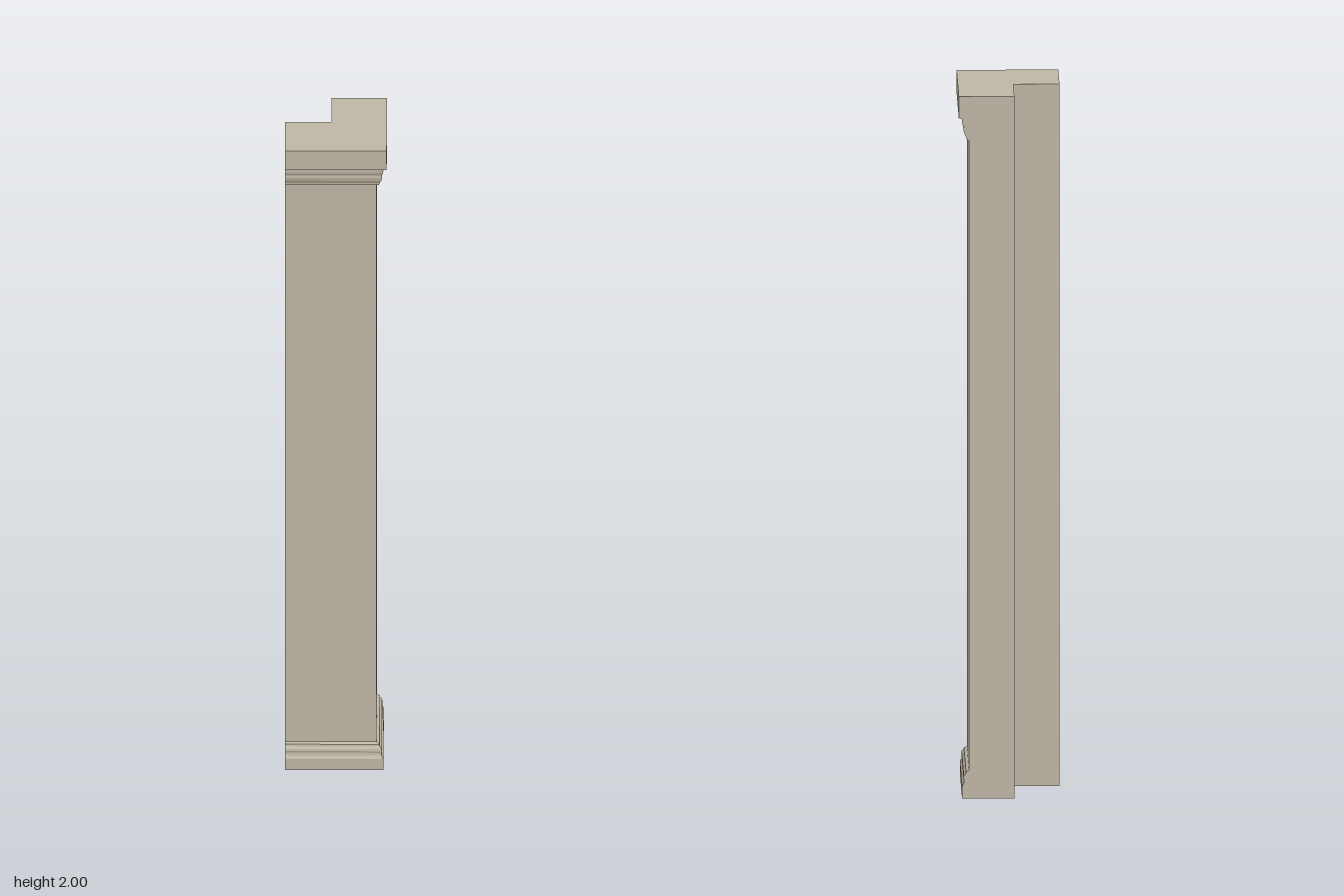
import * as THREE from 'three';

const END = -0.14;     // flush ends of both wings
const INNER = -0.013;  // inside corner of the L
const SHAFT = 0.112;   // outer faces of the shaft

// L-shaped ring; only the two outer faces move with the moulding profile
const ring = (outer, y) => [
  [END, outer], [outer, outer], [outer, END],
  [INNER, END], [INNER, INNER], [END, INNER],
].map(([x, z]) => [x, y, z]);

// Closed, hard-edged loft through a profile of [outer, y] pairs, bottom to top
function loftL(profile) {
  const rings = profile.map(([outer, y]) => ring(outer, y));
  const pos = [];
  const tri = (a, b, c) => pos.push(...a, ...b, ...c);
  for (let k = 0; k < rings.length - 1; k++) {
    const lo = rings[k], hi = rings[k + 1];
    for (let i = 0; i < 6; i++) {
      const j = (i + 1) % 6;
      // inner faces and flush ends keep their outline, flat steps there vanish
      if (profile[k][1] === profile[k + 1][1] && i > 2 && i < 5) continue;
      tri(lo[i], lo[j], hi[j]);
      tri(lo[i], hi[j], hi[i]);
    }
  }
  // end caps fan out from the inside corner
  const bottom = rings[0], top = rings[rings.length - 1];
  for (const [a, b] of [[5, 0], [0, 1], [1, 2], [2, 3]]) {
    tri(top[4], top[a], top[b]);
    tri(bottom[4], bottom[b], bottom[a]);
  }
  const geo = new THREE.BufferGeometry();
  geo.setAttribute('position', new THREE.Float32BufferAttribute(pos, 3));
  geo.computeVertexNormals();
  return geo;
}

export function createModel() {
  const stone = new THREE.MeshStandardMaterial({ color: 0xbfb7a6 });
  stone.name = 'warm stone';
  const model = new THREE.Group();
  model.name = 'cornerPilaster';

  const add = (name, profile) => {
    const mesh = new THREE.Mesh(loftL(profile), stone);
    mesh.name = name;
    model.add(mesh);
  };

  // Plinth with a chamfer, a small hollow and a bead
  add('base', [
    [0.131, 0], [0.131, 0.035], [0.126, 0.044], [0.125, 0.052],
    [0.127, 0.058], [0.126, 0.064], [0.121, 0.070], [0.120, 0.076], [SHAFT, 0.080],
  ]);

  // Plain L-shaped shaft
  add('shaft', [[SHAFT, 0.080], [SHAFT, 1.875]]);

  // Capital: bead, cove and square top block
  add('capital', [
    [SHAFT, 1.875], [0.119, 1.878], [0.120, 1.885], [0.125, 1.895],
    [0.127, 1.905], [0.126, 1.913], [0.130, 1.922], [0.131, 1.936],
    [0.140, 1.939], [0.140, 2],
  ]);

  return model;
}
